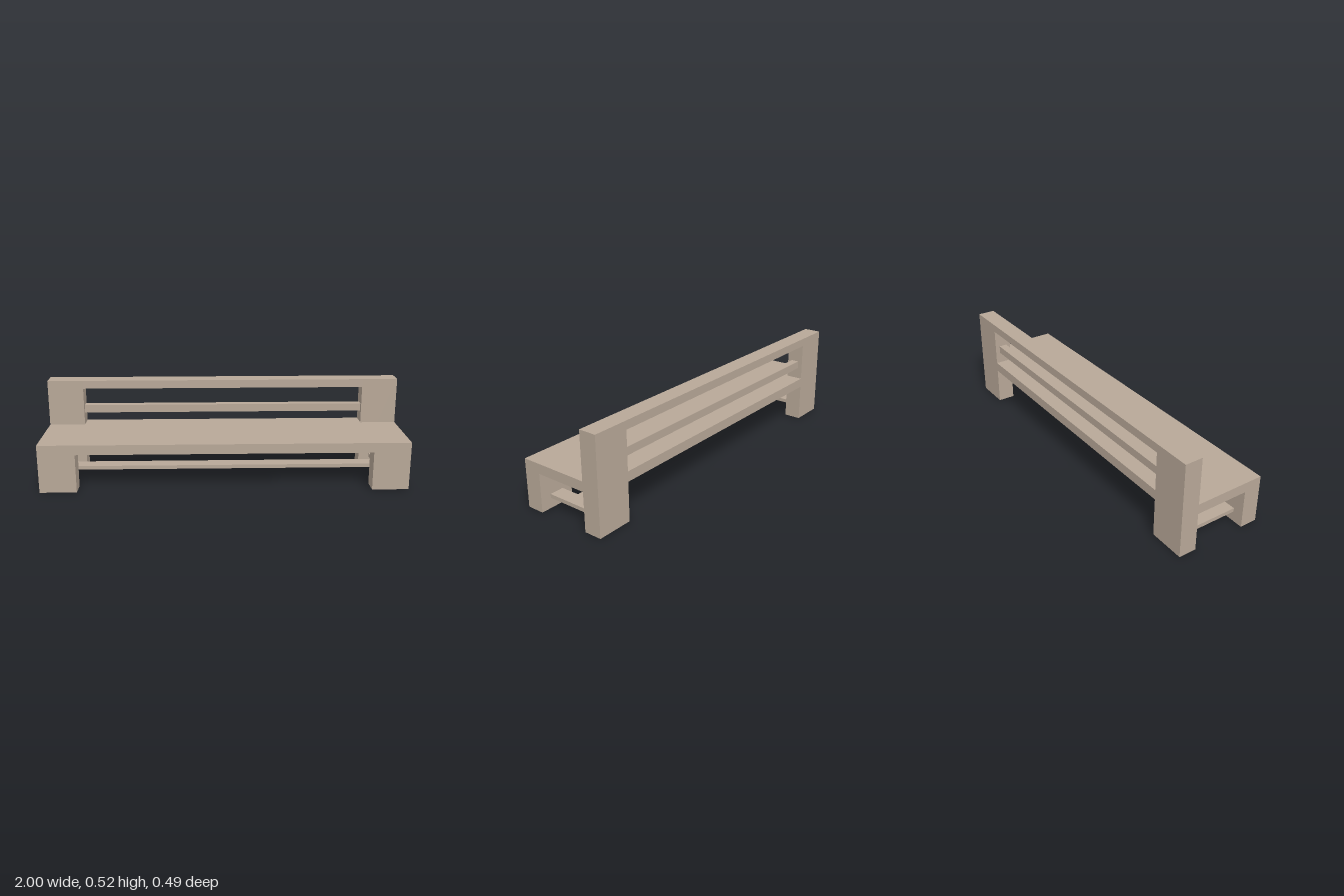
import * as THREE from 'three';

export function createModel() {
  const bench = new THREE.Group();
  bench.name = 'bench';
  const wood = new THREE.MeshStandardMaterial({ color: 0xb8a898 });
  wood.name = 'taupeWood';

  // Overall levels and depths
  const H = 0.524, seatTop = 0.266, seatBottom = 0.212;
  const front = 0.244, legBack = 0.148, postFront = -0.147, back = -0.244;
  const inner = 0.8;

  // Box given by its lower and upper limits on each axis
  function block(name, x0, x1, y0, y1, z0, z1) {
    const mesh = new THREE.Mesh(new THREE.BoxGeometry(x1 - x0, y1 - y0, z1 - z0), wood);
    mesh.position.set((x0 + x1) / 2, (y0 + y1) / 2, (z0 + z1) / 2);
    mesh.name = name;
    bench.add(mesh);
  }

  // Seat board, notched at the rear corners around the posts
  const outline = new THREE.Shape([
    [-1, -front], [1, -front], [1, -postFront], [inner, -postFront],
    [inner, -back], [-inner, -back], [-inner, -postFront], [-1, -postFront],
  ].map(([x, y]) => new THREE.Vector2(x, y)));
  const seatGeometry = new THREE.ExtrudeGeometry(outline, { depth: seatTop - seatBottom, bevelEnabled: false });
  seatGeometry.rotateX(-Math.PI / 2);
  const seat = new THREE.Mesh(seatGeometry, wood);
  seat.position.y = seatBottom;
  seat.name = 'seat';
  bench.add(seat);

  // Legs, back posts and low side stretchers
  for (const [side, s] of [['left', 1], ['right', -1]]) {
    const span = (a, b) => [Math.min(s * a, s * b), Math.max(s * a, s * b)];
    block(side + 'FrontLeg', ...span(inner, 1), 0, seatBottom, legBack, front);
    block(side + 'BackPost', ...span(inner, 1), 0, H, back, postFront);
    block(side + 'Stretcher', ...span(0.86, 0.94), 0.056, 0.077, postFront, legBack);
  }

  // Long stretcher joining the side stretchers
  block('longStretcher', -0.86, 0.86, 0.056, 0.077, -0.04, 0.04);

  // Backrest: full-depth top rail and a thinner middle slat
  block('topRail', -inner, inner, 0.478, H, back, postFront);
  block('backSlat', -inner, inner, 0.33, 0.374, -0.218, -0.173);

  return bench;
}
